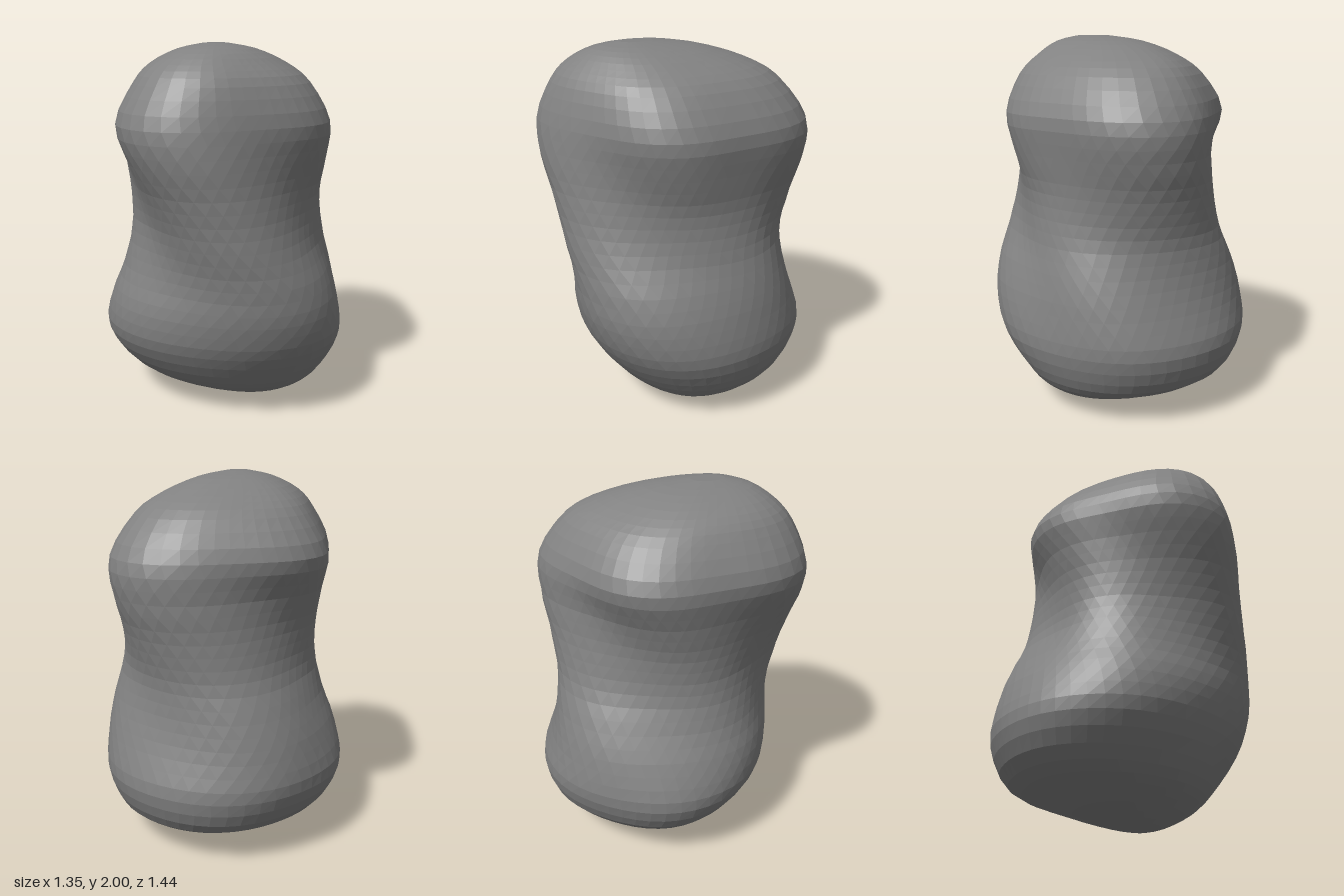
import * as THREE from 'three';

// Cross-sections, bottom to top:
// y, xMin, xMax, zMin, zMax, ridge direction (degrees), elongation, squareness,
// bulge at the back right, bulge at the back left (negative is a dent)
const SECTIONS = [
  [0.0, 0.14, 0.25, -0.04, 0.07, 50, 0.02, 0.0, -0.04, 0],
  [0.03, -0.02, 0.36, -0.18, 0.18, 50, 0.03, 0.0, -0.07, 0],
  [0.1, -0.3, 0.5, -0.4, 0.32, 50, 0.04, 0.01, -0.11, 0],
  [0.2, -0.55, 0.6, -0.63, 0.44, 50, 0.06, 0.01, -0.15, 0.01],
  [0.4, -0.675, 0.67, -0.715, 0.58, 50, 0.07, 0.02, -0.17, 0.02],
  [0.6, -0.64, 0.65, -0.67, 0.65, 58, 0.08, 0.03, -0.11, 0.04],
  [0.8, -0.56, 0.61, -0.63, 0.67, 70, 0.1, 0.04, -0.04, 0.08],
  [1.0, -0.51, 0.56, -0.6, 0.69, 85, 0.11, 0.05, 0, 0.14],
  [1.2, -0.51, 0.54, -0.61, 0.7, 98, 0.12, 0.05, 0, 0.17],
  [1.4, -0.54, 0.56, -0.63, 0.72, 112, 0.12, 0.06, 0.02, 0.1],
  [1.6, -0.57, 0.57, -0.62, 0.71, 122, 0.1, 0.06, 0.04, 0.01],
  [1.8, -0.47, 0.46, -0.49, 0.64, 124, 0.09, 0.05, 0.02, 0],
  [1.9, -0.38, 0.33, -0.33, 0.56, 124, 0.09, 0.04, 0, 0],
  [1.97, -0.24, 0.17, -0.1, 0.455, 124, 0.06, 0.03, 0, 0],
  [2.0, -0.1, 0.02, 0.14, 0.32, 124, 0.02, 0.02, 0, 0],
];
const SIDES = 48;
const STEPS = 3;

// Cubic interpolation between neighbouring sections
function sectionAt(u) {
  const last = SECTIONS.length - 1;
  const i = Math.min(Math.floor(u), last - 1);
  const t = u - i;
  const at = (k) => SECTIONS[Math.max(0, Math.min(last, k))];
  return SECTIONS[0].map((_, k) => {
    const a = at(i - 1)[k], b = at(i)[k], c = at(i + 1)[k], d = at(i + 2)[k];
    return b + 0.5 * t * (c - a + t * (2 * a - 5 * b + 4 * c - d + t * (3 * (b - c) + d - a)));
  });
}

// Smooth bump of height 1 around a direction
const bump = (angle, degrees) =>
  Math.max(0, Math.cos(angle - THREE.MathUtils.degToRad(degrees))) ** 5;

// Rounded four-cornered ring, turned to its ridge and fitted to its extents
function ring([y, x0, x1, z0, z1, ridge, long, square, backRight, backLeft]) {
  const turn = THREE.MathUtils.degToRad(ridge);
  const points = [];
  const box = new THREE.Box2();
  for (let j = 0; j < SIDES; j++) {
    const t = (j / SIDES) * Math.PI * 2;
    const angle = t + turn;
    const r = 1 + long * Math.cos(2 * t) + square * Math.cos(4 * t)
      + backRight * bump(angle, 225) + backLeft * bump(angle, 315);
    const p = new THREE.Vector2(r * Math.cos(angle), r * Math.sin(angle));
    points.push(p);
    box.expandByPoint(p);
  }
  return points.flatMap((p) => [
    THREE.MathUtils.mapLinear(p.x, box.min.x, box.max.x, x0, x1),
    THREE.MathUtils.clamp(y, 0, 2),
    THREE.MathUtils.mapLinear(p.y, box.min.y, box.max.y, z0, z1),
  ]);
}

function bodyGeometry() {
  const positions = [];
  const index = [];
  const rows = (SECTIONS.length - 1) * STEPS;
  for (let i = 0; i <= rows; i++) positions.push(...ring(sectionAt(i / STEPS)));
  for (let i = 0; i < rows; i++) {
    for (let j = 0; j < SIDES; j++) {
      const a = i * SIDES + j;
      const b = i * SIDES + ((j + 1) % SIDES);
      index.push(a, a + SIDES, b, b, a + SIDES, b + SIDES);
    }
  }
  // Small flat caps close both ends
  const top = rows * SIDES;
  for (let j = 1; j < SIDES - 1; j++) {
    index.push(0, j, j + 1, top, top + j + 1, top + j);
  }
  const geometry = new THREE.BufferGeometry();
  geometry.setAttribute('position', new THREE.Float32BufferAttribute(positions, 3));
  geometry.setIndex(index);
  geometry.computeVertexNormals();
  return geometry;
}

export function createModel() {
  const group = new THREE.Group();
  group.name = 'twistedBlock';
  const material = new THREE.MeshStandardMaterial({ color: 0x828282, flatShading: true });
  const body = new THREE.Mesh(bodyGeometry(), material);
  body.name = 'body';
  group.add(body);
  return group;
}
